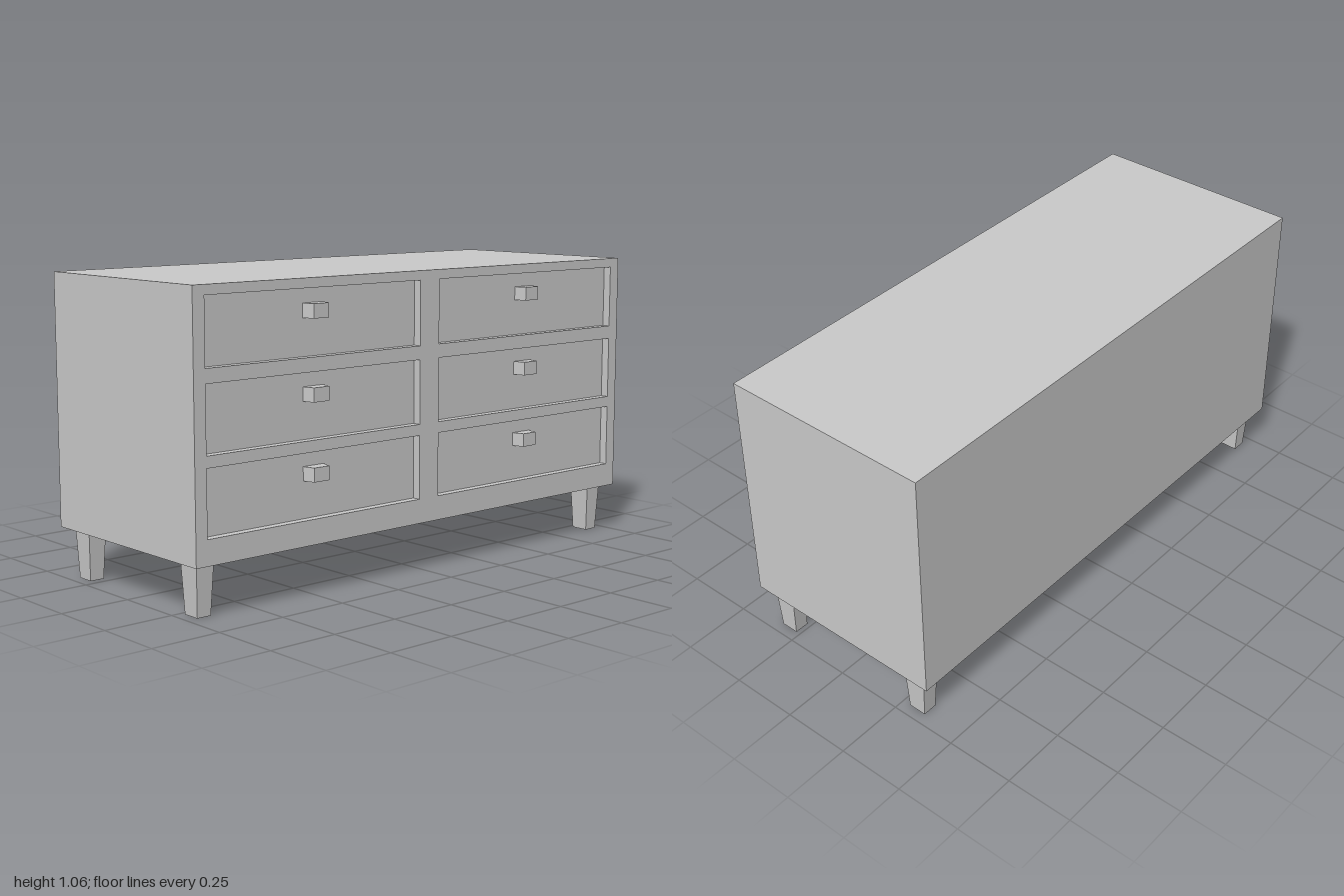
import * as THREE from 'three';
import { mergeGeometries } from 'three/addons/utils/BufferGeometryUtils.js';

const material = new THREE.MeshStandardMaterial({ color: 0xcccccc, flatShading: true });
const FRONT = 0.386, BACK = -0.4, BOTTOM = 0.177, TOP = 1.055, RECESS = 0.03;
const DRAWER_W = 0.91, DRAWER_H = 0.224;
const columns = [-0.5, 0.5];
const rows = [0.91, 0.638, 0.375];

// Box without its +z face; inward = true turns it into a recess seen from the front
function openBox(w, h, d, x, y, z, inward = false) {
  const geo = new THREE.BoxGeometry(w, h, d).translate(x, y, z);
  let index = Array.from(geo.index.array).filter((_, i) => i < 24 || i >= 30);
  if (inward) {
    index.reverse();
    const n = geo.attributes.normal;
    for (let i = 0; i < n.array.length; i++) n.array[i] *= -1;
  }
  geo.setIndex(index);
  geo.clearGroups();
  return geo;
}

function rectangle(PathType, w, h, x, y) {
  return new PathType([[-1, -1], [1, -1], [1, 1], [-1, 1]].map(
    ([a, b]) => new THREE.Vector2(x + a * w / 2, y + b * h / 2)));
}

// Box whose vertices are scaled in the given axes wherever test(position) holds
function taperedBox(w, h, d, test, sx, sz) {
  const geo = new THREE.BoxGeometry(w, h, d);
  const p = geo.attributes.position;
  for (let i = 0; i < p.count; i++) {
    if (test(p.getY(i), p.getZ(i))) {
      p.setX(i, p.getX(i) * sx);
      p.setZ(i, p.getZ(i) * sz);
    }
  }
  geo.computeVertexNormals();
  return geo;
}

export function createModel() {
  const group = new THREE.Group();
  const add = (name, geo, x = 0, y = 0, z = 0) => {
    const mesh = new THREE.Mesh(geo, material);
    mesh.name = name;
    mesh.position.set(x, y, z);
    group.add(mesh);
  };

  // Cabinet: outer shell plus a front frame with six openings
  const height = TOP - BOTTOM, midY = (TOP + BOTTOM) / 2;
  const frame = rectangle(THREE.Shape, 2, height, 0, midY);
  const recesses = [];
  for (const x of columns) {
    for (const y of rows) {
      frame.holes.push(rectangle(THREE.Path, DRAWER_W, DRAWER_H, x, y));
      recesses.push(openBox(DRAWER_W, DRAWER_H, RECESS, x, y, FRONT - RECESS / 2, true));
    }
  }
  add('cabinet', mergeGeometries([
    openBox(2, height, FRONT - BACK, 0, midY, (FRONT + BACK) / 2),
    new THREE.ShapeGeometry(frame).translate(0, 0, FRONT),
  ]));

  // Inset drawer fronts with their surrounding reveals
  add('drawerFronts', mergeGeometries(recesses));

  // Handles, narrowing in width towards the front
  const handleDepth = 0.4 - FRONT + RECESS;
  const handle = taperedBox(0.086, 0.048, handleDepth, (y, z) => z > 0, 0.75, 1);
  for (const x of columns) {
    for (const y of rows) add('handle', handle, x, y + 0.038, 0.4 - handleDepth / 2);
  }

  // Legs, tapering towards the floor
  const leg = taperedBox(0.068, BOTTOM, 0.085, (y) => y < 0, 0.78, 0.77);
  for (const x of [-0.934, 0.934]) {
    add('frontLeg', leg, x, BOTTOM / 2, 0.3);
    add('backLeg', leg, x, BOTTOM / 2, -0.315);
  }
  return group;
}
